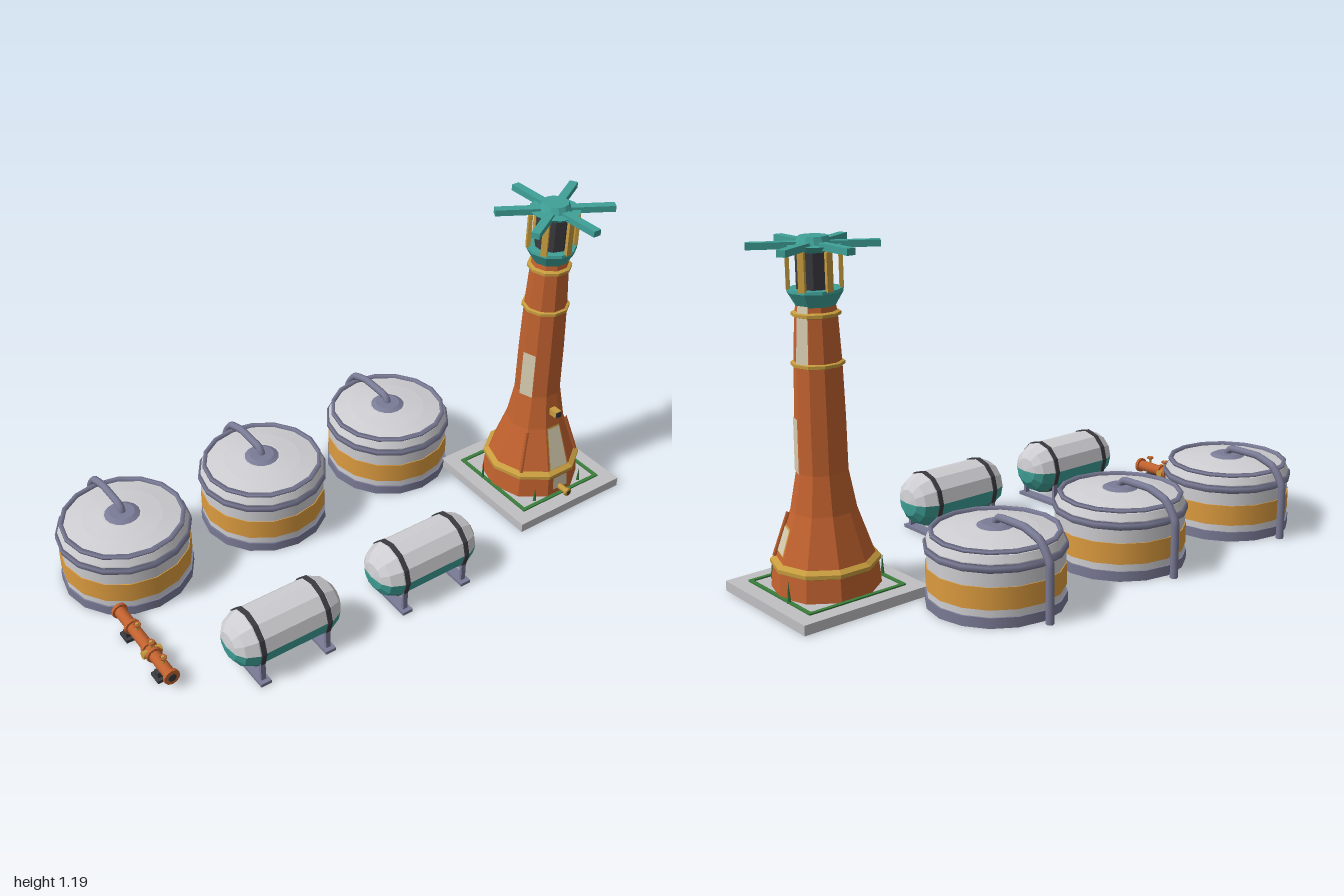
import * as THREE from 'three';

const mat = (name, color) => {
  const m = new THREE.MeshStandardMaterial({ color });
  m.name = name;
  return m;
};
const M = {
  rust: mat('rust orange', 0xc2622f), teal: mat('teal', 0x3fa198), brass: mat('brass', 0xc79c3e),
  white: mat('pale grey', 0xcfcfd3), amber: mat('amber', 0xdc9b3f), slate: mat('slate', 0x7a7b96),
  dark: mat('charcoal', 0x3b3b41), green: mat('green', 0x3a7d3c), cream: mat('cream', 0xd6cbb0),
  pad: mat('concrete', 0xc0c0c3),
};

const V2 = (p) => p.map(([r, y]) => new THREE.Vector2(r, y));
const flat = (g) => {
  const f = g.index ? g.toNonIndexed() : g;
  f.computeVertexNormals();
  return f;
};
function add(parent, name, geo, material, x = 0, y = 0, z = 0) {
  const m = new THREE.Mesh(geo, material);
  m.name = name;
  m.position.set(x, y, z);
  parent.add(m);
  return m;
}
const group = (parent, name, x, y, z) => {
  const g = new THREE.Group();
  g.name = name;
  g.position.set(x, y, z);
  parent.add(g);
  return g;
};
const box = (w, h, d) => new THREE.BoxGeometry(w, h, d);
const tenSided = (pts) => flat(new THREE.LatheGeometry(V2(pts), 10, Math.PI / 2));

// Tower outline: corner radius against height
const OUTLINE = [[0.181, 0.035], [0.173, 0.115], [0.163, 0.14], [0.108, 0.3], [0.084, 0.43],
  [0.082, 0.61], [0.077, 0.785], [0.068, 0.945], [0.062, 0.98]];
function radiusAt(y) {
  for (let i = 1; i < OUTLINE.length; i++) {
    const [r0, y0] = OUTLINE[i - 1], [r1, y1] = OUTLINE[i];
    if (y <= y1) return r0 + (r1 - r0) * (y - y0) / (y1 - y0);
  }
  return 0.062;
}

// Thin plate lying on one of the ten tower faces
function facePlate(parent, name, k, y0, y1, width, material, lift = 0.004) {
  const half = Math.atan(width * Math.tan(Math.PI / 10));
  const r = (y) => (radiusAt(y) * Math.cos(Math.PI / 10) + lift) / Math.cos(half);
  const g = new THREE.CylinderGeometry(r(y1), r(y0), y1 - y0, 1, 1, true, k * Math.PI / 5 - half, half * 2);
  add(parent, name, flat(g), material, 0, (y0 + y1) / 2, 0);
}

function tower(root) {
  const t = group(root, 'tower', 0.76, 0, 0.175);
  add(t, 'pad', box(0.48, 0.035, 0.48), M.pad, 0, 0.0175, 0);
  for (const s of [-1, 1]) {
    add(t, 'hedgeSide', box(0.014, 0.006, 0.37), M.green, s * 0.18, 0.037, 0);
    add(t, 'hedgeEnd', box(0.37, 0.006, 0.014), M.green, 0, 0.037, s * 0.18);
    add(t, 'spikePlant', new THREE.ConeGeometry(0.008, 0.075, 4), M.green, s * 0.182, 0.072, -0.06);
    add(t, 'spikePlant', new THREE.ConeGeometry(0.008, 0.06, 4), M.green, s * 0.11, 0.065, 0.158);
  }
  add(t, 'shaft', tenSided(OUTLINE), M.rust);
  add(t, 'baseRing', tenSided([[0.172, 0.112], [0.181, 0.117], [0.181, 0.13], [0.16, 0.143]]), M.brass);
  for (const [y, r] of [[0.785, 0.086], [0.945, 0.079]]) {
    add(t, 'bandRing', tenSided([[r - 0.015, y - 0.01], [r, y - 0.005], [r, y + 0.005], [r - 0.015, y + 0.01]]), M.brass);
  }

  // Cladding plates
  const plates = [[2, 0.43, 0.61, 0.96], [-2, 0.43, 0.61, 0.96], [3, 0.79, 0.94, 0.96], [3, 0.95, 0.975, 0.96],
    [2, 0.165, 0.245, 0.68], [0, 0.145, 0.298, 0.78], [0, 0.06, 0.11, 0.6]];
  for (const [k, y0, y1, w] of plates) facePlate(t, 'claddingPlate', k, y0, y1, w, M.cream);
  facePlate(t, 'plateFrame', 0, 0.142, 0.303, 0.86, M.brass, 0.002);
  facePlate(t, 'plateFrame', 2, 0.16, 0.25, 0.76, M.brass, 0.002);

  // Ribs along two front corners
  for (const s of [-1, 1]) {
    const at = (y) => {
      const r = radiusAt(y) + 0.003, a = Math.PI / 5;
      return new THREE.Vector3(s * r * Math.cos(a), y, r * Math.sin(a));
    };
    add(t, 'cornerRib', new THREE.TubeGeometry(new THREE.LineCurve3(at(0.14), at(0.29)), 1, 0.009, 4), M.rust);
  }

  // Front lamp and outlet pipe
  add(t, 'lamp', box(0.026, 0.024, 0.05), M.brass, 0, 0.368, 0.1);
  add(t, 'lampFace', box(0.024, 0.022, 0.004), M.dark, 0, 0.368, 0.126);
  const pipe = new THREE.CylinderGeometry(0.012, 0.012, 0.065, 8).rotateX(Math.PI / 2);
  add(t, 'outletPipe', pipe, M.brass, 0, 0.063, 0.19);
  add(t, 'outletFlange', new THREE.CylinderGeometry(0.016, 0.016, 0.01, 8).rotateX(Math.PI / 2), M.brass, 0, 0.063, 0.216);
  add(t, 'outletMouth', new THREE.CircleGeometry(0.01, 8), M.dark, 0, 0.063, 0.2235);

  // Lantern head
  add(t, 'collar', tenSided([[0.062, 0.968], [0.089, 1.015], [0.087, 1.025], [0, 1.025]]), M.teal);
  add(t, 'lanternCore', flat(new THREE.CylinderGeometry(0.06, 0.06, 0.13, 10)), M.dark, 0, 1.087, 0);
  add(t, 'roof', flat(new THREE.CylinderGeometry(0.09, 0.065, 0.02, 12)), M.teal, 0, 1.152, 0);
  add(t, 'roofHub', flat(new THREE.CylinderGeometry(0.046, 0.058, 0.024, 12)), M.teal, 0, 1.177, 0);
  for (let i = 0; i < 6; i++) {
    const spoke = group(t, 'spoke', 0, 0, 0);
    spoke.rotation.y = i * Math.PI / 3;
    add(spoke, 'lanternPost', box(0.022, 0.125, 0.013), M.brass, 0, 1.084, 0.083);
    add(spoke, 'roofArm', box(0.03, 0.022, 0.208), M.teal, 0, 1.161, 0.104);
  }
}

function storageTank(root, x) {
  const t = group(root, 'storageTank', x, 0, -0.235);
  const drum = (name, r0, r1, y0, y1, m) =>
    add(t, name, new THREE.CylinderGeometry(r1, r0, y1 - y0, 16), m, 0, (y0 + y1) / 2, 0);
  drum('baseRing', 0.235, 0.235, 0, 0.035, M.slate);
  drum('wall', 0.229, 0.229, 0.035, 0.212, M.white);
  drum('colourBand', 0.232, 0.232, 0.06, 0.135, M.amber);
  drum('shoulder', 0.229, 0.218, 0.212, 0.236, M.white);
  const hoop = (y, r, h, w) => add(t, 'hoop', new THREE.LatheGeometry(V2([[r - w, y - h], [r, y - h * 0.5],
    [r, y + h * 0.5], [r - w, y + h], [r - w, y - h]]), 16), M.slate);
  hoop(0.195, 0.238, 0.016, 0.012);
  hoop(0.243, 0.22, 0.008, 0.014);
  drum('lidSlope', 0.208, 0.14, 0.236, 0.25, M.white);
  drum('lidTop', 0.139, 0.07, 0.25, 0.259, M.white);
  drum('lidHub', 0.071, 0.045, 0.255, 0.268, M.slate);
  const path = [[0.25, 0], [0.272, -0.002], [0.288, -0.022], [0.289, -0.14], [0.267, -0.212], [0.24, -0.238], [0.195, -0.262], [0, -0.262]]
    .map(([y, z]) => new THREE.Vector3(0, y, z));
  const curve = new THREE.CatmullRomCurve3(path, false, 'catmullrom', 0.15);
  add(t, 'drainPipe', new THREE.TubeGeometry(curve, 48, 0.014, 8), M.slate);
}

function pressureTank(root, x) {
  const t = group(root, 'pressureTank', x, 0.135, 0.41);
  const side = [[0, -0.21], [0.05, -0.203], [0.08, -0.182], [0.1, -0.14]];
  const profile = V2([...side, ...side.map(([r, y]) => [r, -y]).reverse()]);
  const half = (name, start, m) =>
    add(t, name, flat(new THREE.LatheGeometry(profile, 6, start, Math.PI).rotateZ(-Math.PI / 2)), m);
  half('upperShell', Math.PI, M.white);
  half('lowerShell', 0, M.teal);
  for (const s of [-1, 1]) {
    const px = s * 0.127;
    add(t, 'strap', flat(new THREE.CylinderGeometry(0.104, 0.104, 0.018, 12).rotateZ(Math.PI / 2)), M.dark, px, 0, 0);
    add(t, 'foot', box(0.04, 0.012, 0.21), M.slate, px, -0.129, 0);
    for (const q of [-1, 1]) add(t, 'leg', box(0.018, 0.09, 0.012), M.slate, px, -0.085, q * 0.083);
  }
}

// Low pipe run with flanges and valves
function pipeline(root) {
  const p = group(root, 'pipeline', -0.91, 0.05, 0.167);
  const ringZ = (name, r, len, m, z, y = 0) =>
    add(p, name, new THREE.CylinderGeometry(r, r, len, 10).rotateX(Math.PI / 2), m, 0, y, z);
  ringZ('mainPipe', 0.021, 0.365, M.rust, 0);
  for (const z of [-0.182, -0.09, 0.03, 0.065, 0.182]) ringZ('flange', 0.029, 0.012, M.rust, z);
  ringZ('pipeMouth', 0.015, 0.005, M.dark, 0.188);
  for (const z of [-0.1, 0.12]) {
    add(p, 'saddle', box(0.05, 0.02, 0.025), M.dark, 0, -0.028, z);
    add(p, 'foot', box(0.064, 0.012, 0.05), M.dark, 0, -0.044, z);
  }
  for (const z of [-0.05, 0.048, 0.13]) {
    add(p, 'valveStem', new THREE.CylinderGeometry(0.006, 0.006, 0.035, 6), M.brass, 0, 0.03, z);
    add(p, 'valveWheel', new THREE.TorusGeometry(0.011, 0.004, 5, 10).rotateX(Math.PI / 2), M.rust, 0, 0.043, z);
  }
  add(p, 'crossValve', new THREE.CylinderGeometry(0.014, 0.014, 0.07, 8).rotateZ(Math.PI / 2), M.brass, 0, 0, 0.048);
}

export function createModel() {
  const root = new THREE.Group();
  root.name = 'refinery';
  tower(root);
  for (const x of [-0.765, -0.195, 0.375]) storageTank(root, x);
  for (const x of [-0.527, 0.047]) pressureTank(root, x);
  pipeline(root);
  return root;
}
